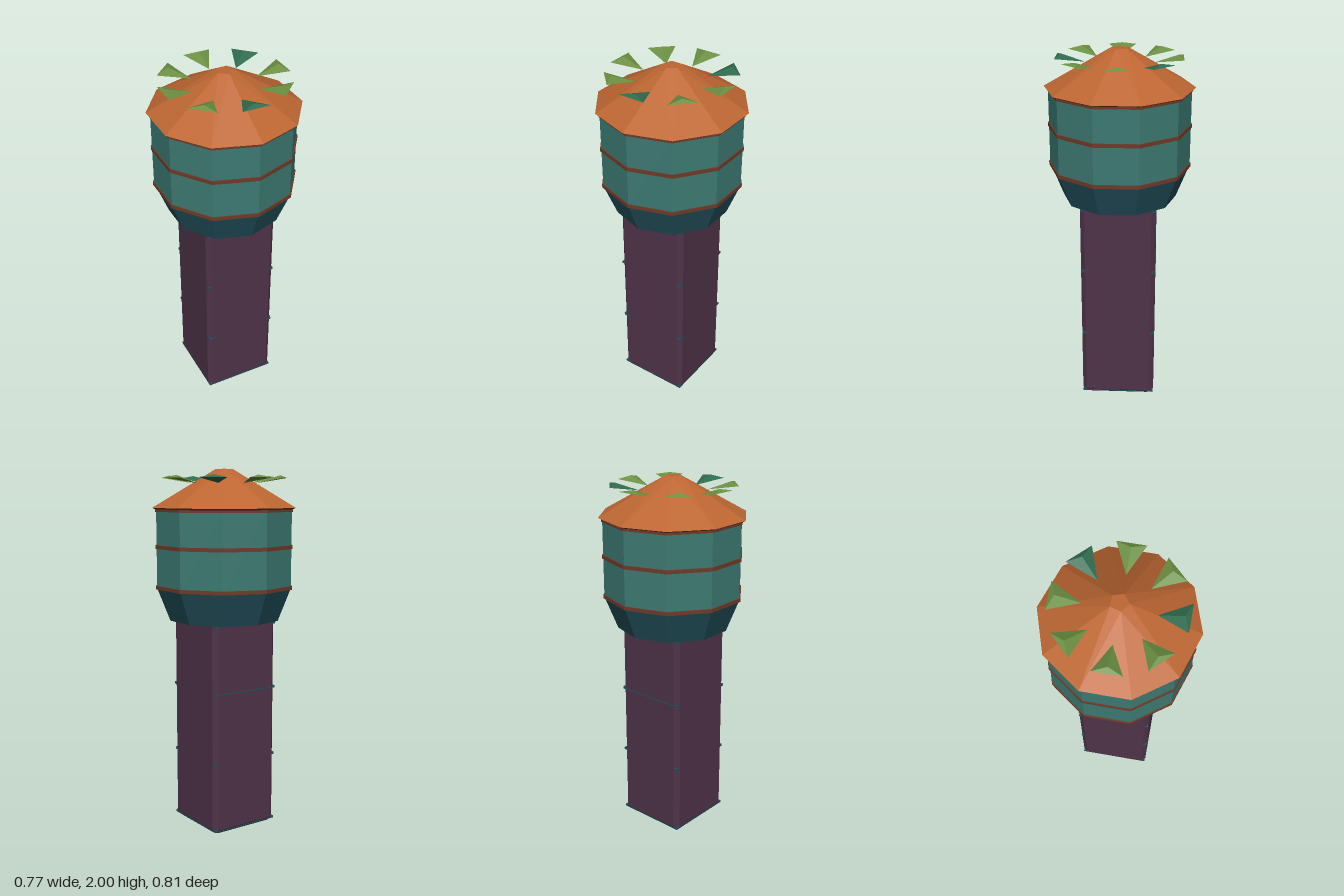
import * as THREE from 'three';
import { ConvexGeometry } from 'three/addons/geometries/ConvexGeometry.js';

const mat = (name, color) => {
  const m = new THREE.MeshStandardMaterial({ color, flatShading: true });
  m.name = name;
  return m;
};

// Non-indexed geometry from a list of corner triples
function fromTriangles(tris) {
  const g = new THREE.BufferGeometry().setFromPoints(tris.flat());
  g.computeVertexNormals();
  return g;
}

const ring = (n, r, y) => Array.from({ length: n }, (_, i) => {
  const a = (i / n) * Math.PI * 2;
  return new THREE.Vector3(Math.sin(a) * r, y, Math.cos(a) * r);
});

// Square outline with cut corners
const cutSquare = (h, c, y) => [
  [h, h - c], [h - c, h], [c - h, h], [-h, h - c],
  [-h, c - h], [c - h, -h], [h - c, -h], [h, c - h],
].map(([x, z]) => new THREE.Vector3(x, y, z));

export function createModel() {
  const model = new THREE.Group();
  model.name = 'tower';

  const purple = mat('plum trunk', 0x4f3349);
  const teal = mat('teal wall', 0x3d7972);
  const deepTeal = mat('deep teal', 0x22505c);
  const brown = mat('brown band', 0x6e3a28);
  const orange = mat('orange roof', 0xbd6632);
  const leafGreen = mat('leaf green', 0x6b8f42);
  const darkGreen = mat('dark leaf green', 0x2f6b4e);

  const add = (name, geometry, material, x = 0, y = 0, z = 0) => {
    const m = new THREE.Mesh(geometry, material);
    m.name = name;
    m.position.set(x, y, z);
    model.add(m);
    return m;
  };

  // Trunk with cut corners and a bevelled foot
  add('trunk', new ConvexGeometry([
    ...cutSquare(0.19, 0.02, 0.008),
    ...cutSquare(0.206, 0.025, 0.03),
    ...cutSquare(0.206, 0.025, 1.2),
  ]), purple);

  // Hidden frames whose corners poke out of the cut trunk edges
  for (const y of [0.025, 0.41, 0.8, 1.165]) {
    add('cornerStuds', new THREE.BoxGeometry(0.406, 0.013, 0.406), deepTeal, 0, y, 0);
  }
  // Thin seams on the trunk faces
  add('backSeam', new THREE.BoxGeometry(0.37, 0.006, 0.004), deepTeal, 0, 0.8, -0.206);
  add('frontSeam', new THREE.BoxGeometry(0.04, 0.006, 0.004), deepTeal, -0.175, 0.41, 0.206);
  add('sideSeam', new THREE.BoxGeometry(0.004, 0.006, 0.03), deepTeal, 0.206, 0.41, 0.175);

  // Small feet
  for (const x of [-0.14, 0.14]) {
    for (const z of [-0.14, 0.14]) {
      add('foot', new THREE.BoxGeometry(0.03, 0.012, 0.03), purple, x, 0.006, z);
    }
  }

  // Flared collar, ten-sided wall and its bands
  add('collar', new THREE.CylinderGeometry(0.381, 0.31, 0.18, 10), deepTeal, 0, 1.27, 0);
  add('wall', new THREE.CylinderGeometry(0.382, 0.382, 0.43, 10), teal, 0, 1.575, 0);
  for (const y of [1.365, 1.585, 1.783]) {
    add('band', new THREE.CylinderGeometry(0.388, 0.388, 0.02, 10), brown, 0, y, 0);
  }
  add('eave', new THREE.CylinderGeometry(0.403, 0.388, 0.008, 10), brown, 0, 1.79, 0);

  // Roof narrowing from ten sides to a five-sided cap
  const low = ring(10, 0.404, 1.794);
  const top = ring(5, 0.048, 2);
  const peak = new THREE.Vector3(0, 2, 0);
  const roof = [];
  for (let i = 0; i < 5; i++) {
    const a = low[2 * i], b = low[2 * i + 1], c = low[(2 * i + 2) % 10];
    const u = top[i], v = top[(i + 1) % 5];
    roof.push([a, b, u], [b, c, v], [b, v, u], [u, v, peak]);
  }
  add('roof', fromTriangles(roof), orange);

  // Eight leaves, each a shallow pyramid with its tip on the roof
  const tip = new THREE.Vector3(0, 1.924, 0.18);
  const left = new THREE.Vector3(0.075, 1.952, 0.335);
  const right = new THREE.Vector3(-0.075, 1.952, 0.335);
  const ridge = new THREE.Vector3(0, 1.966, 0.306);
  const leaf = fromTriangles([
    [left, ridge, right], [left, tip, ridge], [right, ridge, tip], [left, right, tip],
  ]);
  for (let i = 0; i < 8; i++) {
    const dark = i === 0 || i === 3;
    add('leaf', leaf, dark ? darkGreen : leafGreen).rotation.y = (i * Math.PI) / 4;
  }
  return model;
}
